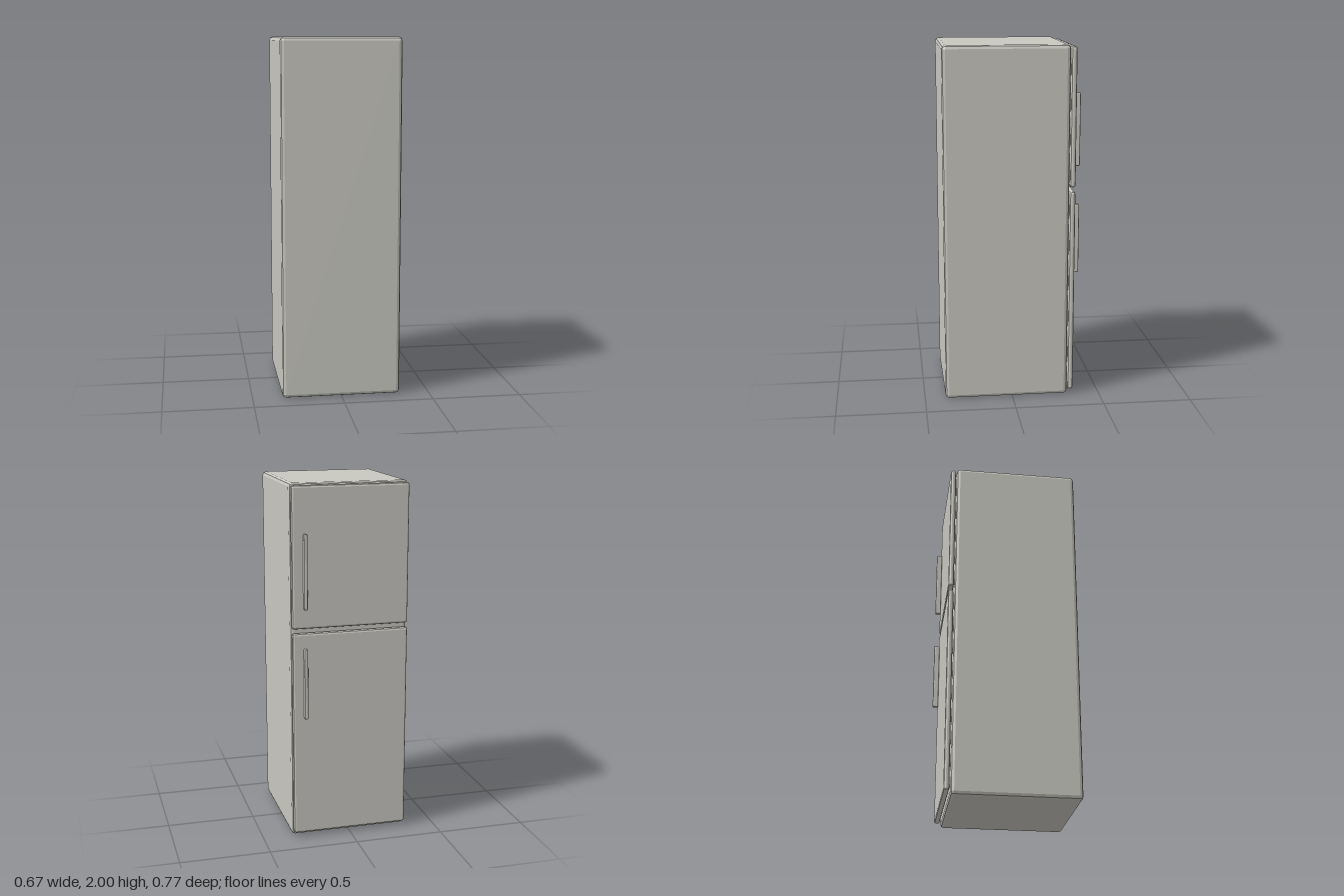
import * as THREE from 'three';
import { RoundedBoxGeometry } from 'three/addons/geometries/RoundedBoxGeometry.js';

// Box with softly bevelled edges, given by its extents on each axis
function bevelledBox(name, [x0, x1], [y0, y1], [z0, z1], bevel, material) {
  const geometry = new RoundedBoxGeometry(x1 - x0, y1 - y0, z1 - z0, 1, bevel);
  geometry.computeVertexNormals();
  const mesh = new THREE.Mesh(geometry, material);
  mesh.name = name;
  mesh.position.set((x0 + x1) / 2, (y0 + y1) / 2, (z0 + z1) / 2);
  return mesh;
}

export function createModel() {
  const model = new THREE.Group();
  model.name = 'refrigerator';
  const enamel = new THREE.MeshStandardMaterial({ color: 0xc8c7c0, flatShading: true });
  enamel.name = 'pale grey enamel';

  // Cabinet
  model.add(bevelledBox('cabinet', [-0.333, 0.333], [0, 2], [-0.317, 0.383], 0.02, enamel));

  // Freezer door above the main door, each with an upright bar handle
  const doors = [
    { name: 'freezer', door: [1.215, 1.99], handle: [1.325, 1.735] },
    { name: 'fridge', door: [0.025, 1.19], handle: [0.71, 1.107] },
  ];
  for (const { name, door, handle } of doors) {
    model.add(bevelledBox(`${name}Door`, [-0.329, 0.328], door, [-0.352, -0.321], 0.012, enamel));
    model.add(bevelledBox(`${name}Handle`, [0.248, 0.268], handle, [-0.384, -0.352], 0.006, enamel));
  }
  return model;
}
